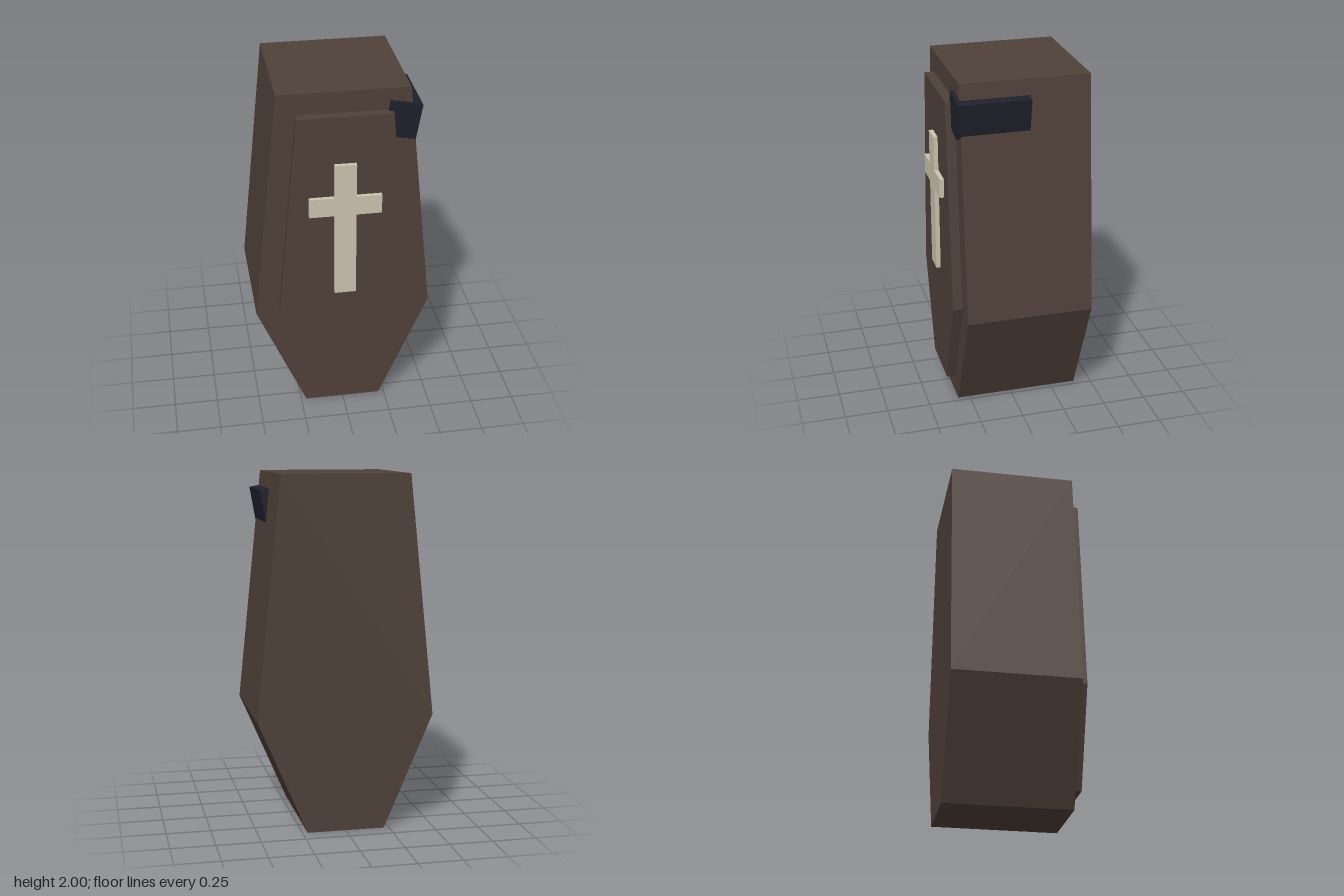
import * as THREE from 'three';

const wood = new THREE.MeshStandardMaterial({ color: 0x50413a });
wood.name = 'dark wood';
const bone = new THREE.MeshStandardMaterial({ color: 0xcdc4b0 });
bone.name = 'bone';
const navy = new THREE.MeshStandardMaterial({ color: 0x20202c });
navy.name = 'dark navy';

// Extrudes a left/right symmetric outline, given by its +x half from bottom to top.
function mirroredPlate(name, half, back, front, material) {
  const outline = [...half, ...half.map(([x, y]) => [-x, y]).reverse()];
  const shape = new THREE.Shape(outline.map(([x, y]) => new THREE.Vector2(x, y)));
  const geometry = new THREE.ExtrudeGeometry(shape, { depth: front - back, bevelEnabled: false });
  geometry.translate(0, 0, back);
  const mesh = new THREE.Mesh(geometry, material);
  mesh.name = name;
  return mesh;
}

export function createModel() {
  const group = new THREE.Group();
  group.name = 'coffin';

  // Six-sided body and raised lid panel
  group.add(mirroredPlate('body', [[0.22, 0], [0.5, 0.65], [0.36, 2]], -0.4, 0.32, wood));
  group.add(mirroredPlate('lid', [[0.17, 0.125], [0.37, 0.68], [0.26, 1.878]], 0.32, 0.375, wood));

  // Cross on the lid
  const crossHalf = [
    [0.06, 0.8], [0.06, 1.3], [0.2, 1.3], [0.2, 1.41], [0.06, 1.41], [0.06, 1.605],
  ];
  group.add(mirroredPlate('cross', crossHalf, 0.375, 0.4, bone));

  // Tilted block wrapping the upper left corner, sunk into the body
  const corner = new THREE.Mesh(new THREE.BoxGeometry(0.174, 0.2, 0.405), navy);
  corner.name = 'cornerBracket';
  corner.position.set(0.318, 1.818, 0.142);
  corner.rotation.z = THREE.MathUtils.degToRad(-10);
  group.add(corner);

  return group;
}
